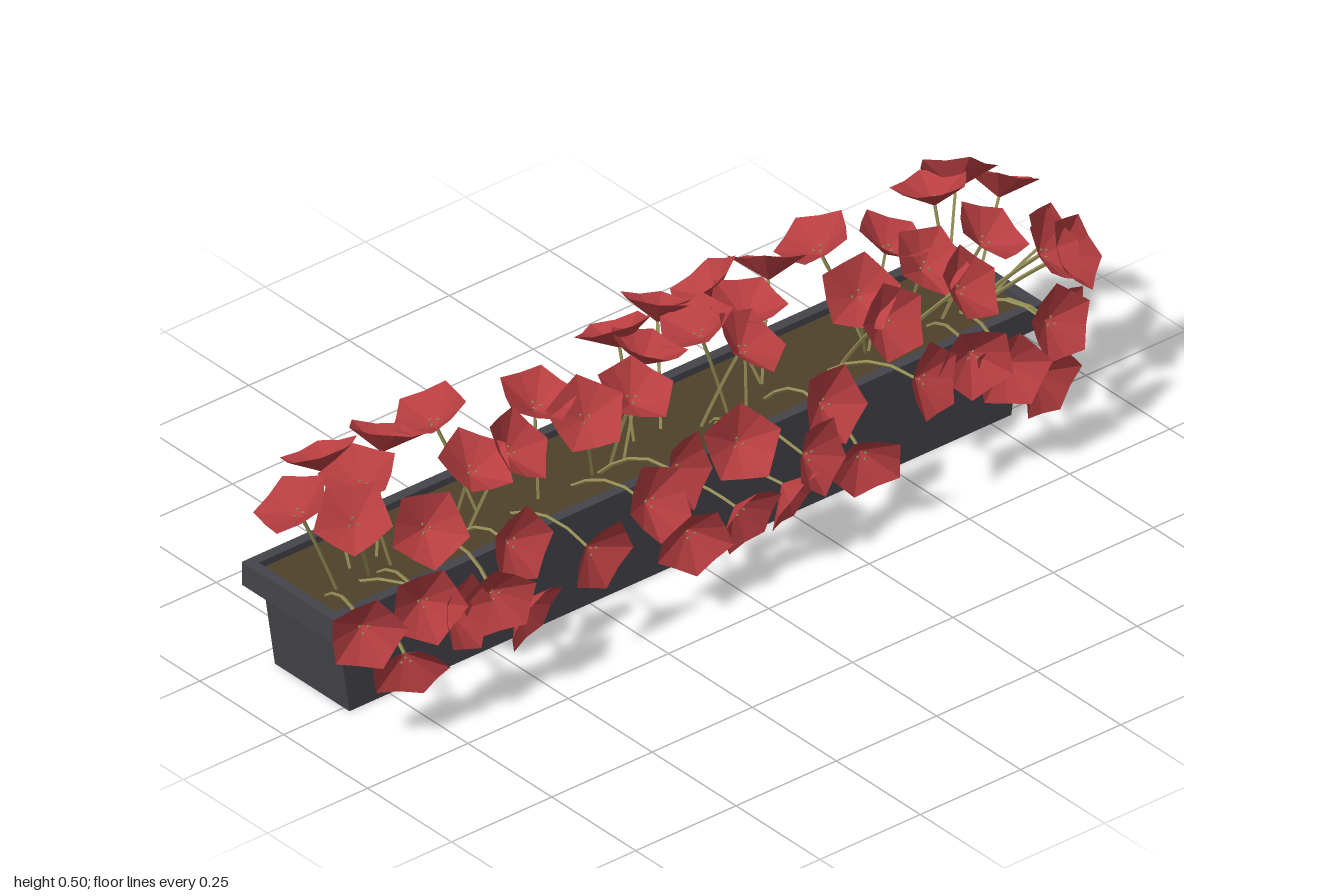
import * as THREE from 'three';

const mat = (name, color, side = THREE.FrontSide) => {
  const m = new THREE.MeshStandardMaterial({ color, side, flatShading: true });
  m.name = name;
  return m;
};

// Flowers sit on an arc over the trough: each row has an angle from upright,
// a distance from the arc's centre and the x positions along the trough
const ARC = { y: 0.22, z: -0.07 };
const ROWS = [
  { angle: -0.5, reach: 0.24, xs: [-0.75, 0.09, 0.21, 0.83] },
  { angle: -0.38, reach: 0.235, xs: [-0.62, -0.5, -0.04, 0.34, 0.46, 0.75] },
  { angle: 0, reach: 0.22, xs: [-0.91, -0.75, -0.31, -0.04, 0.09, 0.21, 0.57] },
  { angle: 0.36, reach: 0.21, xs: [-0.83, -0.53, -0.43, -0.25, -0.13, 0.15, 0.43, 0.6, 0.75] },
  { angle: 0.72, reach: 0.21, xs: [-0.7, 0.45, 0.64, 0.85] },
  { angle: 1.2, reach: 0.2, xs: [-0.52, -0.11, 0.04, 0.26] },
  { angle: 1.28, reach: 0.25, xs: [-0.94, -0.79, -0.22, 0.46, 0.58, 0.78] },
  { angle: 1.48, reach: 0.25, xs: [-0.71, -0.62, -0.37, 0.17, 0.66] },
  { angle: 1.84, reach: 0.23, xs: [-0.82, -0.52, -0.11, 0.02, 0.14, 0.32, 0.77] },
  // right end
  { angle: -0.48, reach: 0.19, xs: [0.92] },
  { angle: 0.4, reach: 0.1, xs: [0.93] },
  { angle: 0.82, reach: 0.19, xs: [0.9] },
  { angle: 1.55, reach: 0.16, xs: [0.86] },
];

// Five-sided open cup; +y is the direction the flower faces
function makeBlossom() {
  const pos = [];
  const rim = (k) => {
    const a = (k * Math.PI) / 5;
    const r = k % 2 ? 0.067 : 0.081;
    return [r * Math.sin(a), k % 2 ? 0.017 : 0.022, r * Math.cos(a)];
  };
  for (let k = 0; k < 10; k++) pos.push(0, -0.026, 0, ...rim(k), ...rim(k + 1));
  const g = new THREE.BufferGeometry();
  g.setAttribute('position', new THREE.Float32BufferAttribute(pos, 3));
  g.computeVertexNormals();
  return g;
}

export function createModel() {
  const root = new THREE.Group();
  const potMat = mat('charcoal pot', 0x45444a);
  const soilMat = mat('brown soil', 0x4f412a);
  const petalMat = mat('red petal', 0xb83e41, THREE.DoubleSide);
  const stemMat = mat('olive stem', 0x8f8953);
  const add = (parent, name, geometry, material) => {
    const mesh = new THREE.Mesh(geometry, material);
    mesh.name = name;
    parent.add(mesh);
    return mesh;
  };
  const cx = -0.025, cz = -0.0945;

  // Trough with sloping ends
  const side = new THREE.Shape([[-0.825, 0], [0.825, 0], [0.855, 0.2], [-0.855, 0.2]]
    .map(([x, y]) => new THREE.Vector2(x, y)));
  add(root, 'trough', new THREE.ExtrudeGeometry(side, { depth: 0.222, bevelEnabled: false }), potMat)
    .position.set(cx, 0, cz - 0.111);

  // Rim frame
  const rect = (w, d) => [[-w, -d], [w, -d], [w, d], [-w, d]].map(([x, y]) => new THREE.Vector2(x, y));
  const frame = new THREE.Shape(rect(0.885, 0.1375));
  frame.holes.push(new THREE.Path(rect(0.862, 0.1145).reverse()));
  const rim = add(root, 'rim', new THREE.ExtrudeGeometry(frame, { depth: 0.052, bevelEnabled: false }), potMat);
  rim.rotation.x = -Math.PI / 2;
  rim.position.set(cx, 0.19, cz);

  // Soil
  add(root, 'soil', new THREE.BoxGeometry(1.724, 0.034, 0.229), soilMat).position.set(cx, 0.21, cz);

  // Flowers, each with a curved stem and three stamen tips
  const blossom = makeBlossom();
  const stamen = new THREE.OctahedronGeometry(0.0035);
  const up = new THREE.Vector3(0, 1, 0);
  const addFlower = (x, angle, reach, i) => {
    const plant = new THREE.Group();
    plant.name = 'flower';
    root.add(plant);

    // End flowers lean outwards, the others to either side in turn
    const lean = Math.abs(x) > 0.8 ? Math.sign(x) * 0.11 : 0.09 * Math.sin(i * 2.1);
    const centre = new THREE.Vector3(x, ARC.y + reach * Math.cos(angle), ARC.z + reach * Math.sin(angle));
    const tilt = angle + 0.2 * Math.sin(i * 1.7) + (angle > 0 && angle < 1 ? 0.25 : 0.05);
    const facing = new THREE.Vector3(lean, 0.22 * Math.cos(tilt), 0.22 * Math.sin(tilt)).normalize();

    const head = new THREE.Group();
    head.name = 'flowerHead';
    head.position.copy(centre);
    head.quaternion.setFromUnitVectors(up, facing)
      .multiply(new THREE.Quaternion().setFromAxisAngle(up, i * 2.4));
    plant.add(head);
    add(head, 'petals', blossom, petalMat);
    for (let k = 0; k < 3; k++) {
      const a = (k * Math.PI * 2) / 3;
      add(head, 'stamen', stamen, stemMat).position.set(0.01 * Math.cos(a), -0.01, 0.01 * Math.sin(a));
    }

    // Trailing stems leave through the trough front, the others rise from the soil
    const back = centre.clone().addScaledVector(facing, -0.024);
    const trailing = angle > 1.6;
    const base = trailing
      ? new THREE.Vector3(x - lean * 0.6, centre.y + 0.01, 0)
      : new THREE.Vector3(THREE.MathUtils.clamp(x - lean * 0.85, -0.86, 0.81), 0.222, angle < -0.1 ? -0.1 : -0.06);
    const bend = base.clone().lerp(back, 0.5);
    bend.y += angle > 1.1 && !trailing ? 0.06 : 0.01;
    const path = new THREE.QuadraticBezierCurve3(base, bend, back);
    add(plant, 'stem', new THREE.TubeGeometry(path, 4, 0.004, 4, false), stemMat);
  };
  let count = 0;
  for (const { angle, reach, xs } of ROWS) {
    for (const x of xs) addFlower(x, angle, reach, count++);
  }

  return root;
}
